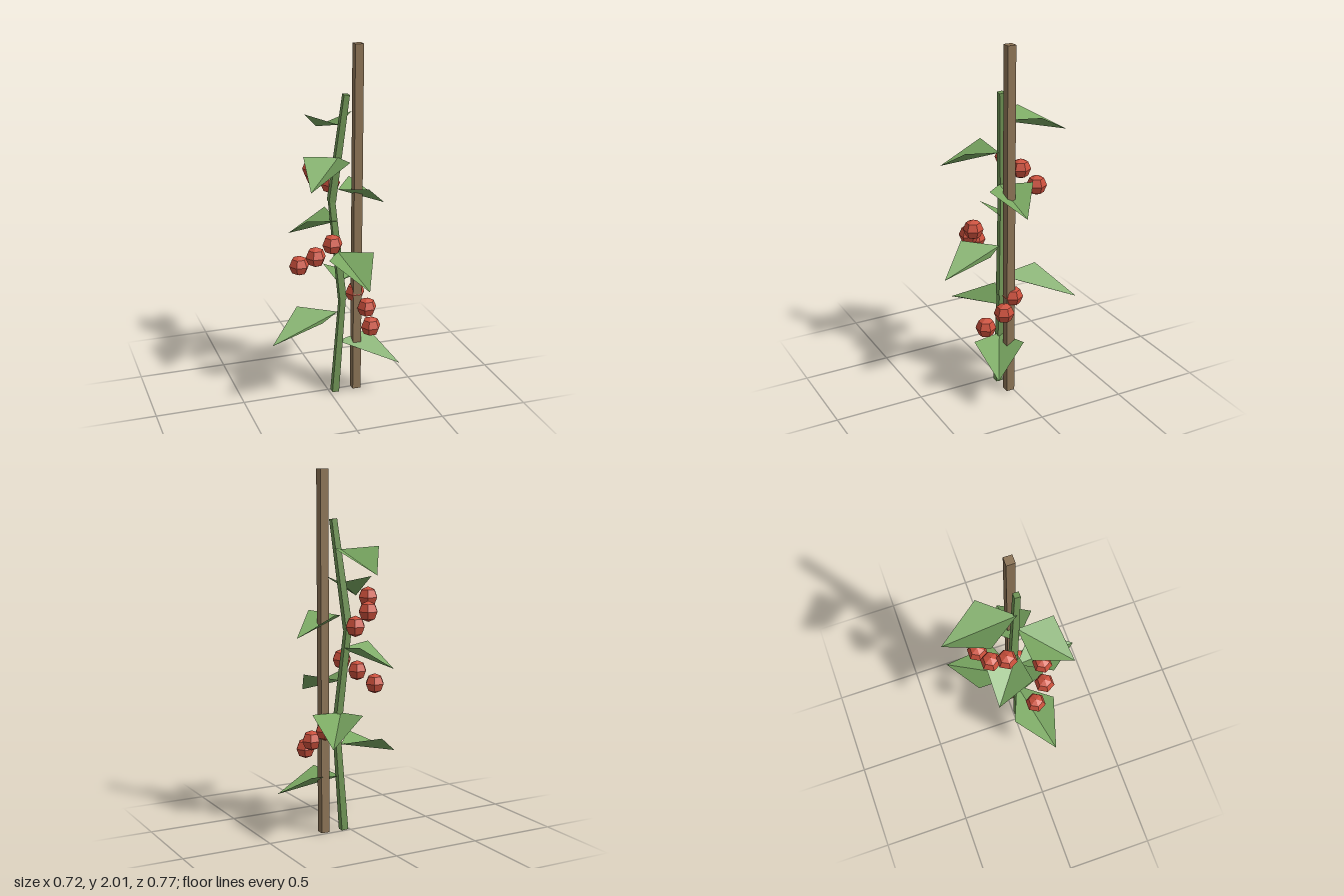
import * as THREE from 'three';

const mat = (color, side = THREE.FrontSide) =>
  new THREE.MeshStandardMaterial({ color, flatShading: true, side });

// Leaf pointing along +x: two triangles folded on the midrib, sides raised, tip drooping
function leafGeometry(length) {
  const along = 0.44 * length, half = 0.137, lift = 0.025, droop = -0.107;
  const base = [0, 0, 0], tip = [length, droop, 0];
  const left = [along, lift, -half], right = [along, lift, half];
  const geo = new THREE.BufferGeometry();
  geo.setAttribute('position', new THREE.Float32BufferAttribute(
    [base, right, tip, base, tip, left].flat(), 3));
  geo.computeVertexNormals();
  return geo;
}

export function createModel() {
  const group = new THREE.Group();
  const add = (name, geo, material, x, y, z) => {
    const mesh = new THREE.Mesh(geo, material);
    mesh.name = name;
    mesh.position.set(x, y, z);
    group.add(mesh);
    return mesh;
  };
  const wood = mat(0x8b7355), stemGreen = mat(0x6f9455);
  const leafGreen = mat(0x7aa862, THREE.DoubleSide), red = mat(0xcc503c);

  // Support stake
  add('stake', new THREE.BoxGeometry(0.048, 2, 0.048), wood, 0.159, 1, 0.024);

  // Zigzag stem of tapered square segments
  const joints = [
    [0.033, 0, 0.025], [0.074, 0.57, 0.03], [0.022, 1.14, -0.005], [0.088, 1.73, 0.036],
  ].map((p) => new THREE.Vector3(...p));
  for (let i = 0; i < 3; i++) {
    const dir = joints[i + 1].clone().sub(joints[i]);
    const mid = joints[i].clone().add(joints[i + 1]).multiplyScalar(0.5);
    const geo = new THREE.CylinderGeometry(0.023, 0.028, dir.length() + 0.01, 4);
    geo.rotateY(Math.PI / 4);
    const seg = add('stemSegment', geo, stemGreen, mid.x, mid.y, mid.z);
    seg.quaternion.setFromUnitVectors(new THREE.Vector3(0, 1, 0), dir.normalize());
  }

  // Leaves spiral upward by the golden angle
  for (let i = 0; i < 8; i++) {
    const leaf = add('leaf', leafGeometry(0.355 + 0.08 * Math.sin(i)), leafGreen,
      0.049, 0.307 + 0.1805 * i, 0.025);
    leaf.rotation.y = -THREE.MathUtils.degToRad(28.5 + 137.5 * i);
  }

  // Three trusses of three fruits
  const fruits = [
    [-0.067, 1.315, -0.072], [-0.025, 1.247, -0.148], [0.077, 1.178, -0.19],
    [-0.024, 0.944, 0.148], [-0.113, 0.875, 0.13], [-0.184, 0.806, 0.054],
    [0.16, 0.584, 0], [0.204, 0.516, 0.078], [0.189, 0.447, 0.183],
  ];
  const fruitGeo = new THREE.SphereGeometry(0.057, 6, 4);
  for (const p of fruits) add('fruit', fruitGeo, red, ...p);

  return group;
}
